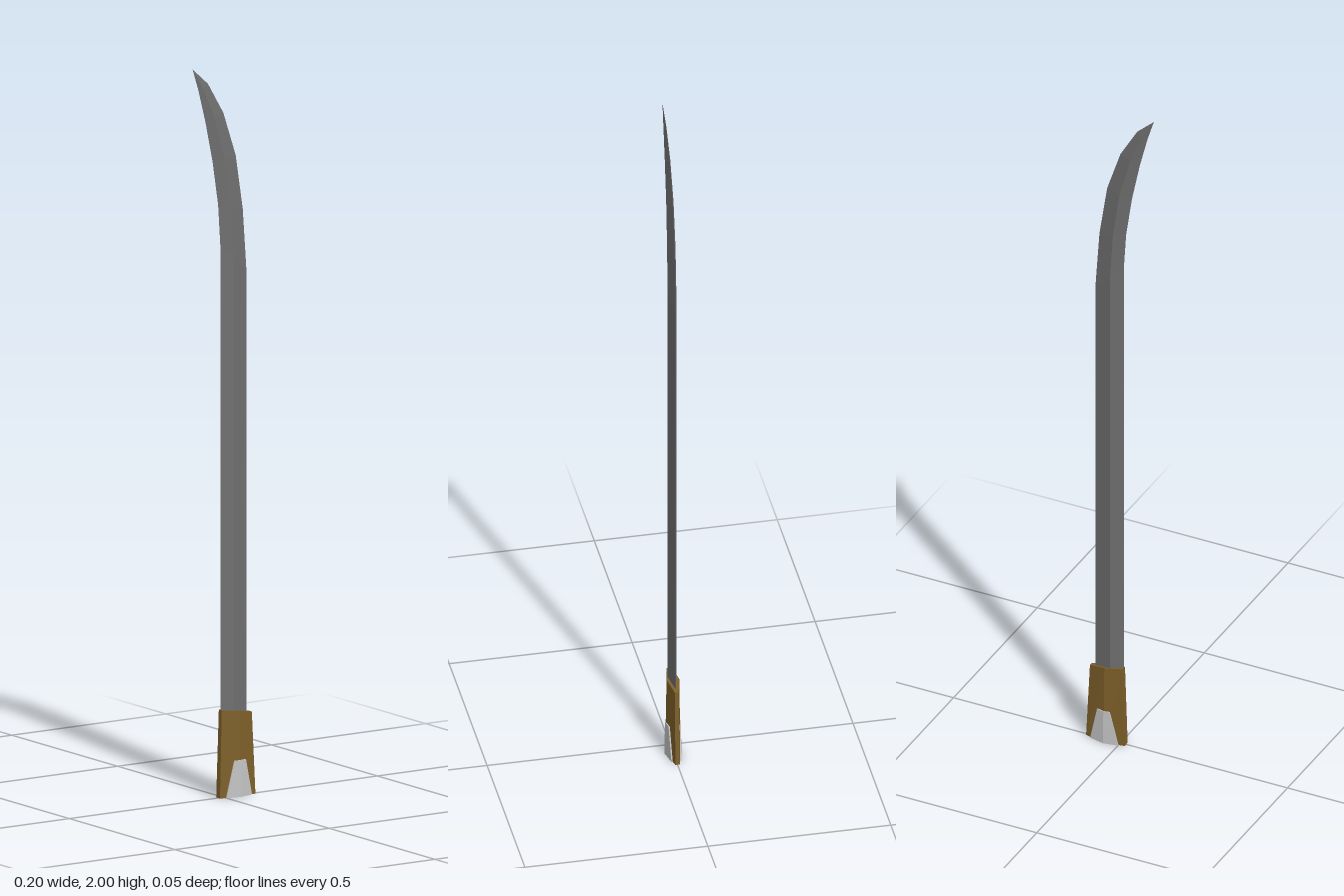
import * as THREE from 'three';

// Skin a list of equal-length point rings (counter-clockwise seen from above) and cap both ends
function loft(rings) {
  const pos = [];
  const n = rings[0].length;
  const tri = (a, b, c) => pos.push(...a, ...b, ...c);
  for (let i = 0; i < rings.length - 1; i++) {
    for (let j = 0; j < n; j++) {
      const k = (j + 1) % n;
      const [a, b, c, d] = [rings[i][j], rings[i][k], rings[i + 1][k], rings[i + 1][j]];
      tri(a, b, c);
      tri(a, c, d);
    }
  }
  const first = rings[0], last = rings[rings.length - 1];
  for (let j = 1; j < n - 1; j++) {
    tri(first[0], first[j + 1], first[j]);
    tri(last[0], last[j], last[j + 1]);
  }
  const g = new THREE.BufferGeometry();
  g.setAttribute('position', new THREE.Float32BufferAttribute(pos, 3));
  g.computeVertexNormals();
  return g;
}

export function createModel() {
  const steel = new THREE.MeshStandardMaterial({ name: 'dark steel', color: 0x707070 });
  const brass = new THREE.MeshStandardMaterial({ name: 'aged brass', color: 0x7e602a });
  const silver = new THREE.MeshStandardMaterial({ name: 'silver', color: 0xc4c4c4 });
  const model = new THREE.Group();
  model.name = 'sword';
  const add = (name, geometry, material) => {
    const mesh = new THREE.Mesh(geometry, material);
    mesh.name = name;
    model.add(mesh);
  };

  // Blade: diamond sections, [back x, y, ridge x, y, edge x, y, half thickness]
  const sections = [
    [-0.01, 0.1, 0.025, 0.1, 0.075, 0.1, 0.012],
    [-0.01, 1.51, 0.025, 1.48, 0.075, 1.43, 0.012],
    [-0.017, 1.62, 0.017, 1.61, 0.063, 1.6, 0.0115],
    [-0.035, 1.74, -0.002, 1.745, 0.04, 1.75, 0.01],
    [-0.058, 1.85, -0.033, 1.86, 0.0, 1.87, 0.0075],
    [-0.081, 1.94, -0.068, 1.945, -0.05, 1.955, 0.004],
    [-0.1, 2, -0.1, 2, -0.1, 2, 0],
  ];
  add('blade', loft(sections.map(([bx, by, rx, ry, ex, ey, t]) => [
    [bx, by, 0], [rx, ry, t], [ex, ey, 0], [rx, ry, -t],
  ])), steel);

  // Collar: tapered six-sided sleeve with a slanted top
  const collarRing = (x0, y0, z0, x1, y1, z1, x2, y2, z2) => [
    [x0, y0, z0], [x1, y1, z1], [x2, y2, z2],
    [x2, y2, -z2], [x1, y1, -z1], [x0, y0, -z0],
  ];
  add('collar', loft([
    collarRing(-0.017, 0, 0.009, 0.041, 0, 0.02, 0.1, 0, 0.006),
    collarRing(-0.01, 0.24, 0.007, 0.04, 0.235, 0.017, 0.089, 0.225, 0.005),
  ]), brass);

  // Tapered plates folded over the ridge on each side of the collar
  const plateRing = (y, x0, x2, zEdge0, zMid, zEdge2, s) => {
    const inner = 0.005;
    const ring = [
      [x0, y, zEdge0], [0.041, y, zMid], [x2, y, zEdge2],
      [x2, y, zEdge2 - inner], [0.041, y, zMid - inner], [x0, y, zEdge0 - inner],
    ].map(([x, py, z]) => [x, py, z * s]);
    return s > 0 ? ring : ring.reverse();
  };
  for (const s of [1, -1]) {
    add(s > 0 ? 'frontPlate' : 'backPlate', loft([
      plateRing(0, 0, 0.084, 0.0155, 0.023, 0.0135, s),
      plateRing(0.1, 0.024, 0.062, 0.018, 0.021, 0.017, s),
    ]), silver);
  }
  return model;
}
